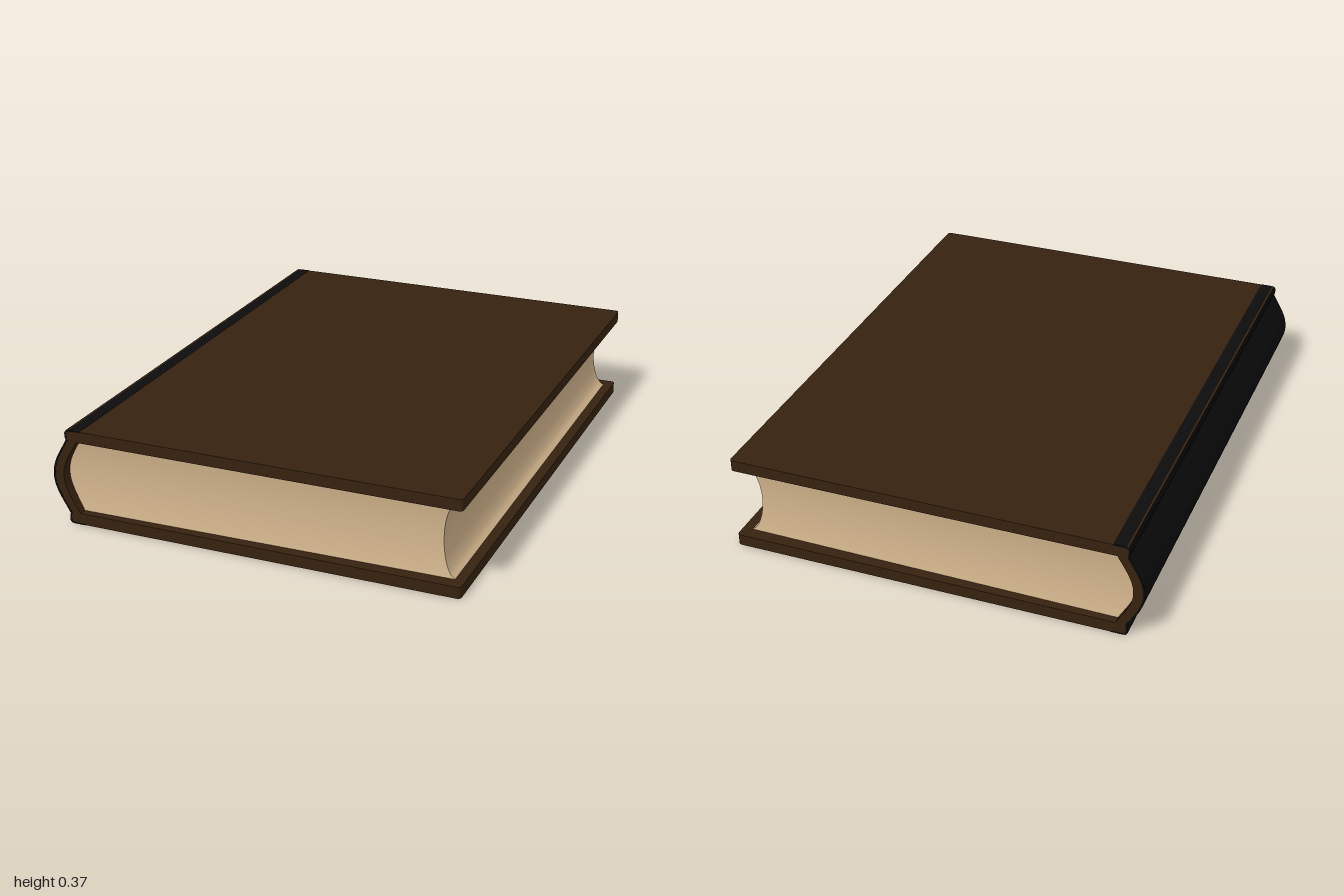
import * as THREE from 'three';

const H = 0.365, T = 0.043, HALF = 0.994, MID = H / 2;

const brown = new THREE.MeshStandardMaterial({ name: 'brown cover', color: 0x36220f });
const black = new THREE.MeshStandardMaterial({ name: 'black spine leather', color: 0x0c0c0c });
const tan = new THREE.MeshStandardMaterial({ name: 'tan paper', color: 0xd2b48c });

function mesh(name, geometry, material) {
  const m = new THREE.Mesh(geometry, material);
  m.name = name;
  return m;
}

// Extrude an xy profile along the whole length of the book
function alongBook(points, half) {
  const g = new THREE.ExtrudeGeometry(new THREE.Shape(points), { depth: half * 2, bevelEnabled: false });
  return g.translate(0, 0, -half);
}

// Rounded spine curve; bulges to -x between the two boards
function spineArc(xEdge, xMid, halfHeight, n = 24) {
  const pts = [];
  for (let i = 0; i <= n; i++) {
    const t = 1 - (2 * i) / n;
    pts.push(new THREE.Vector2(xEdge + (xMid - xEdge) * Math.pow(Math.cos(t * Math.PI / 2), 1.1), MID + t * halfHeight));
  }
  return pts;
}

// Board with small rounded corners on the opening side
function board() {
  const x0 = -0.715, x1 = 0.773, r = 0.016;
  const s = new THREE.Shape();
  s.moveTo(x0, -HALF);
  s.lineTo(x1 - r, -HALF);
  s.quadraticCurveTo(x1, -HALF, x1, -HALF + r);
  s.lineTo(x1, HALF - r);
  s.quadraticCurveTo(x1, HALF, x1 - r, HALF);
  s.lineTo(x0, HALF);
  const g = new THREE.ExtrudeGeometry(s, { depth: T, bevelEnabled: false, curveSegments: 5 });
  return g.rotateX(-Math.PI / 2);
}

// Page block: rounded back, hollow fore edge, slightly hollow ends
function pageBlock() {
  const g = new THREE.BoxGeometry(2, 2, 2, 8, 24, 2);
  const p = g.attributes.position;
  for (let i = 0; i < p.count; i++) {
    const u = (p.getX(i) + 1) / 2, v = p.getY(i);
    const left = -0.68 - 0.058 * Math.cos(v * Math.PI / 2);
    const right = 0.745 - 0.055 * Math.sqrt(Math.max(0, 1 - v * v * 0.98));
    const half = 0.965 - 0.02 * u - 0.012 * (1 - v * v);
    p.setXYZ(i, left + (right - left) * u, MID + v * (MID - T + 0.001), p.getZ(i) * half);
  }
  g.computeVertexNormals();
  return g;
}

// Leather skin: over the board edges and round the outside of the spine
function leather() {
  const lip = [[-0.66, H], [-0.705, H], [-0.717, H - 0.004], [-0.722, H - 0.012], [-0.721, H - 0.03]];
  const inLip = [[-0.66, H - 0.004], [-0.703, H - 0.005], [-0.712, H - 0.009], [-0.715, H - 0.015], [-0.714, H - 0.032]];
  const v = ([x, y]) => new THREE.Vector2(x, y);
  const flip = (q) => new THREE.Vector2(q.x, H - q.y);
  const path = (edge, arc) => {
    const top = edge.map(v);
    return [...top, ...arc, ...top.map(flip).reverse()];
  };
  const outer = path(lip, spineArc(-0.718, -0.778, 0.144));
  const inner = path(inLip, spineArc(-0.711, -0.77, 0.142));
  const g = alongBook([...outer, ...inner.reverse()], HALF + 0.0005);
  // Lift the hinge strip a hair above and below the boards
  const p = g.attributes.position;
  for (let i = 0; i < p.count; i++) p.setY(i, MID + (p.getY(i) - MID) * 1.004);
  return g;
}

export function createModel() {
  const book = new THREE.Group();
  book.name = 'book';

  const lower = mesh('lowerBoard', board(), brown);
  const upper = mesh('upperBoard', board(), brown);
  upper.position.y = H - T;
  book.add(lower, upper);

  const core = [...spineArc(-0.712, -0.771, 0.143), ...spineArc(-0.676, -0.736, 0.141).reverse()];
  book.add(mesh('spineCore', alongBook(core, HALF), brown));
  book.add(mesh('spineLeather', leather(), black));
  book.add(mesh('pages', pageBlock(), tan));

  // The book lies very slightly askew
  book.rotation.y = 0.0075;
  book.position.y = 0.0007;
  const model = new THREE.Group();
  model.name = 'closedBook';
  model.add(book);
  return model;
}
